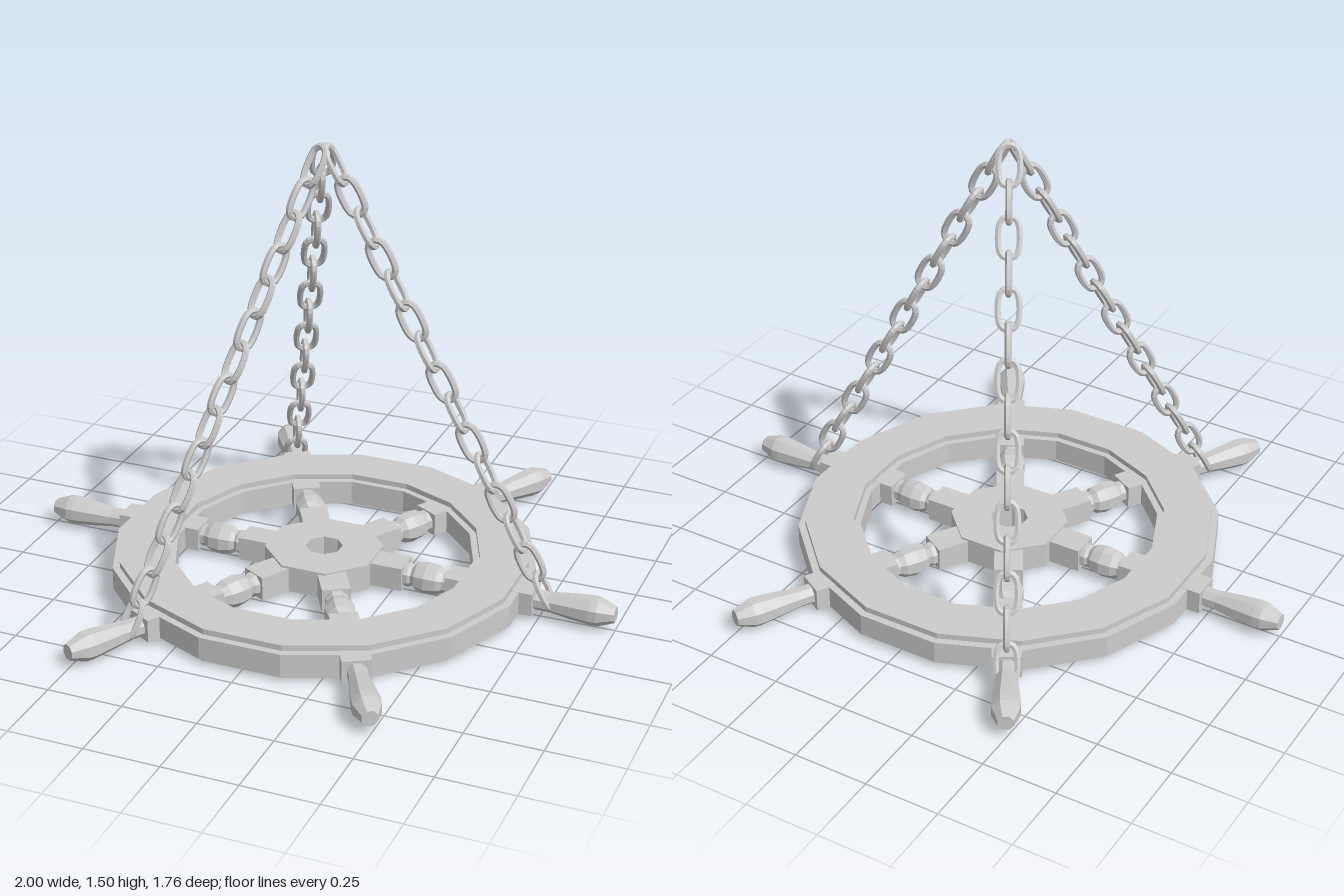
import * as THREE from 'three';

const mat = new THREE.MeshStandardMaterial({ color: 0xcccccc, flatShading: true });

function add(parent, name, geo, x = 0, y = 0, z = 0) {
  const m = new THREE.Mesh(geo, mat);
  m.name = name;
  m.position.set(x, y, z);
  parent.add(m);
  return m;
}

// Corners of a regular polygon whose flats face the axes
function polygon(n, r) {
  return Array.from({ length: n }, (_, i) => {
    const a = ((i + 0.5) / n) * Math.PI * 2;
    return new THREE.Vector2(r * Math.cos(a), r * Math.sin(a));
  });
}

// Flat polygonal ring lying between heights y0 and y1
function ring(n, outer, inner, y0, y1) {
  const shape = new THREE.Shape(polygon(n, outer));
  shape.holes.push(new THREE.Path(polygon(n, inner)));
  const g = new THREE.ExtrudeGeometry(shape, { depth: y1 - y0, bevelEnabled: false });
  g.rotateX(-Math.PI / 2);
  g.translate(0, y0, 0);
  return g;
}

// Turned part along +x from [distance, radius] pairs
function turned(profile) {
  const pts = profile.map(([d, r]) => new THREE.Vector2(r, d));
  const g = new THREE.LatheGeometry(pts, 8, Math.PI / 8);
  g.rotateZ(-Math.PI / 2);
  return g;
}

// Closed oval chain link, long axis on y
function linkGeometry() {
  const r = 0.031, half = 0.033, pts = [];
  for (const side of [1, -1]) {
    for (let i = 0; i <= 4; i++) {
      const a = (i / 4) * Math.PI;
      pts.push(new THREE.Vector3(side * r * Math.cos(a), side * (half + r * Math.sin(a)), 0));
    }
  }
  const curve = new THREE.CatmullRomCurve3(pts, true, 'centripetal');
  return new THREE.TubeGeometry(curve, 24, 0.011, 6, true);
}

export function createModel() {
  const root = new THREE.Group();
  root.name = 'wheelChandelier';
  const midY = 0.058;

  // Rim: wide core between two narrower plates
  const rim = new THREE.Group();
  rim.name = 'rim';
  add(rim, 'rimCore', ring(16, 0.704, 0.497, 0.02, 0.096));
  add(rim, 'rimTopPlate', ring(16, 0.68, 0.519, 0.096, 0.115));
  add(rim, 'rimBottomPlate', ring(16, 0.68, 0.519, 0, 0.02));
  root.add(rim);

  // Hub with a pierced centre
  const hub = new THREE.Group();
  hub.name = 'hub';
  add(hub, 'hubCore', ring(8, 0.197, 0.062, 0.015, 0.105));
  add(hub, 'hubBottomPlate', ring(8, 0.168, 0.105, 0, 0.015));
  root.add(hub);

  // Six spokes: square inner block, turned baluster, block through the rim, handle
  const innerBlock = new THREE.BoxGeometry(0.135, 0.08, 0.094);
  const outerBlock = new THREE.BoxGeometry(0.295, 0.078, 0.094);
  const baluster = turned([[0.28, 0.04], [0.305, 0.04], [0.315, 0.034], [0.33, 0.046],
    [0.365, 0.053], [0.405, 0.048], [0.425, 0.037], [0.45, 0.037]]);
  const handle = turned([[0.73, 0], [0.73, 0.033], [0.78, 0.033], [0.85, 0.042],
    [0.92, 0.049], [0.945, 0.048], [1, 0.027], [1, 0]]);
  for (let i = 0; i < 6; i++) {
    const spoke = new THREE.Group();
    spoke.name = 'spoke' + (i + 1);
    add(spoke, 'innerBlock', innerBlock, 0.2225, midY);
    add(spoke, 'baluster', baluster, 0, midY);
    add(spoke, 'outerBlock', outerBlock, 0.5875, midY);
    add(spoke, 'handle', handle, 0, midY);
    spoke.rotation.y = (i * Math.PI) / 3;
    root.add(spoke);
  }

  // Three chains from the apex to every second handle
  const link = linkGeometry();
  const tilt = 0.494, pitch = 0.109;
  for (let c = 0; c < 3; c++) {
    const chain = new THREE.Group();
    chain.name = 'chain' + (c + 1);
    for (let i = -1; i <= 13; i++) {
      const d = i * pitch;
      const m = add(chain, 'link', link,
        0.09 + d * Math.sin(tilt), 1.34 - d * Math.cos(tilt), 0);
      m.rotation.set(0, i % 2 ? Math.PI / 2 : 0, tilt, 'ZYX');
    }
    chain.rotation.y = (c * Math.PI * 2) / 3;
    root.add(chain);
  }
  return root;
}
